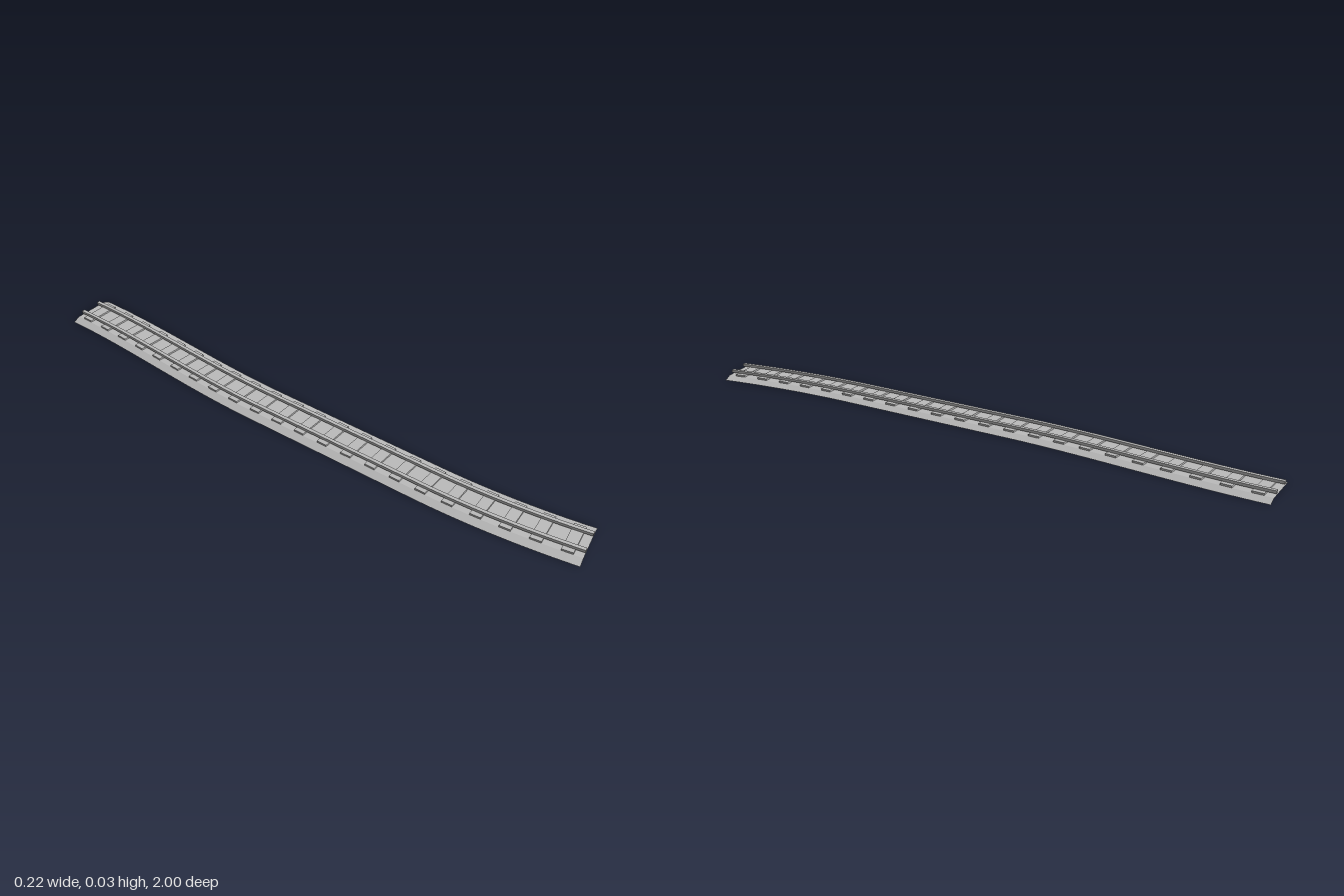
import * as THREE from 'three';

const Z0 = -1, Z1 = 0.983;      // ends of the centre line
const SWAY = 0.0235;            // sideways reach of the centre line

// Centre line: an S-bend at the back, a straight, then an arc at the front
function centreX(z) {
  if (z < -0.15) {
    const t = (z + 1) / 0.85;
    return SWAY - 2 * SWAY * t * t * (3 - 2 * t);
  }
  if (z > 0.47) {
    const t = (z - 0.47) / (Z1 - 0.47);
    return -SWAY + 2 * SWAY * t * t;
  }
  return -SWAY;
}
const heading = z => z <= Z0 ? 0 : Math.atan((centreX(z) - centreX(z - 0.002)) / 0.002);

// Sweep a profile of [offset, height], counter-clockwise seen from the front
function sweep(profile, closed) {
  const steps = 48, n = profile.length, pos = [], index = [];
  for (let k = 0; k <= steps; k++) {
    const z = Z0 + (Z1 - Z0) * k / steps, a = heading(z);
    for (const [o, y] of profile) pos.push(centreX(z) + o * Math.cos(a), y, z - o * Math.sin(a));
  }
  for (let k = 0; k < steps; k++) {
    for (let i = 0; i < (closed ? n : n - 1); i++) {
      const j = (i + 1) % n, p = k * n, q = p + n;
      index.push(p + i, p + j, q + i, p + j, q + j, q + i);
    }
  }
  if (closed) {
    const e = steps * n;
    for (let i = 1; i < n - 1; i++) index.push(e, e + i, e + i + 1, 0, i + 1, i);
  }
  const g = new THREE.BufferGeometry();
  g.setAttribute('position', new THREE.Float32BufferAttribute(pos, 3));
  g.setIndex(index);
  const flat = g.toNonIndexed();
  flat.computeVertexNormals();
  return flat;
}

export function createModel() {
  const group = new THREE.Group();
  group.name = 'curvedTrack';
  const grey = new THREE.MeshStandardMaterial({ color: 0xbcbcbc, side: THREE.DoubleSide });
  grey.name = 'grey';

  const add = (name, geometry, parent = group) => {
    const mesh = new THREE.Mesh(geometry, grey);
    mesh.name = name;
    parent.add(mesh);
    return mesh;
  };

  // Hollow ballast bed with sloping shoulders
  add('ballastBed', sweep([[0.086, 0], [0.06, 0.0105], [-0.06, 0.0105], [-0.086, 0]], false));

  // Pair of rails
  for (const side of [-1, 1]) {
    const c = side * 0.037, w = 0.006;
    add(side < 0 ? 'rightRail' : 'leftRail',
      sweep([[c - w, 0.016], [c + w, 0.016], [c + w, 0.025], [c - w, 0.025]], true));
  }

  // Sleepers, square to the centre line
  const sleepers = new THREE.Group();
  sleepers.name = 'sleepers';
  group.add(sleepers);
  const sleeperShape = new THREE.BoxGeometry(0.118, 0.006, 0.036);
  const count = 22;
  for (let i = 0; i < count; i++) {
    const z = Z0 + (Z1 - Z0) * (i + 0.5) / count;
    const sleeper = add('sleeper', sleeperShape, sleepers);
    sleeper.position.set(centreX(z), 0.0133, z);
    sleeper.rotation.y = heading(z);
  }
  return group;
}
